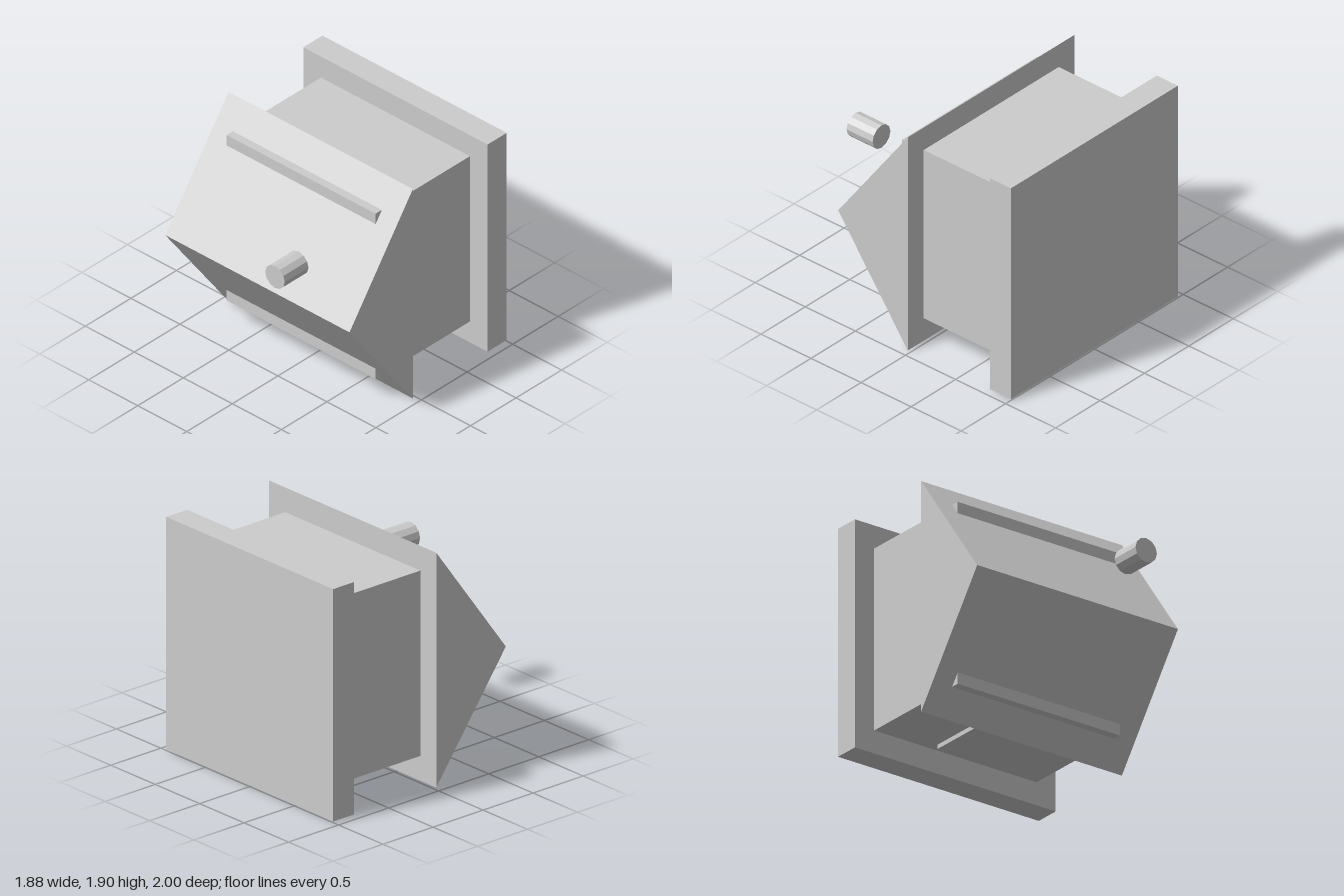
import * as THREE from 'three';

export function createModel() {
  const model = new THREE.Group();
  model.name = 'device';
  const grey = new THREE.MeshStandardMaterial({ color: 0xcccccc });
  grey.name = 'light grey';
  grey.flatShading = true;

  const add = (name, geometry) => {
    const mesh = new THREE.Mesh(geometry, grey);
    mesh.name = name;
    model.add(mesh);
    return mesh;
  };
  // Box given by its extents on each axis
  const box = (name, [x0, x1], [y0, y1], [z0, z1]) =>
    add(name, new THREE.BoxGeometry(x1 - x0, y1 - y0, z1 - z0))
      .position.set((x0 + x1) / 2, (y0 + y1) / 2, (z0 + z1) / 2);

  // Back plate and the body, whose front edges poke through the wedge
  box('backPlate', [-0.94, 0.94], [0.01, 1.89], [-1, -0.79]);
  box('body', [-0.76, 0.76], [0.2, 1.7], [-0.79, 0.245]);

  // Wedge front: triangular side profile extruded across the width
  const profile = new THREE.Shape([
    new THREE.Vector2(-0.03, 0),
    new THREE.Vector2(-0.03, 1.9),
    new THREE.Vector2(-0.725, 0.95),
  ]);
  const wedge = new THREE.ExtrudeGeometry(profile, { depth: 1.88, bevelEnabled: false });
  wedge.rotateY(Math.PI / 2).translate(-0.94, 0, 0);
  add('wedgeFront', wedge);

  // Knob floating ahead of the upper slope
  const knob = new THREE.CylinderGeometry(0.1, 0.1, 0.26, 12);
  knob.rotateX(Math.PI / 2);
  add('knob', knob).position.set(0.435, 1.355, 0.87);

  // Fittings under the body
  box('undersideBlock', [0.46, 0.64], [0.12, 0.2], [-0.13, 0.04]);
  box('undersidePlate', [-0.23, 0.2], [0.165, 0.2], [-0.71, 0.04]);

  return model;
}
